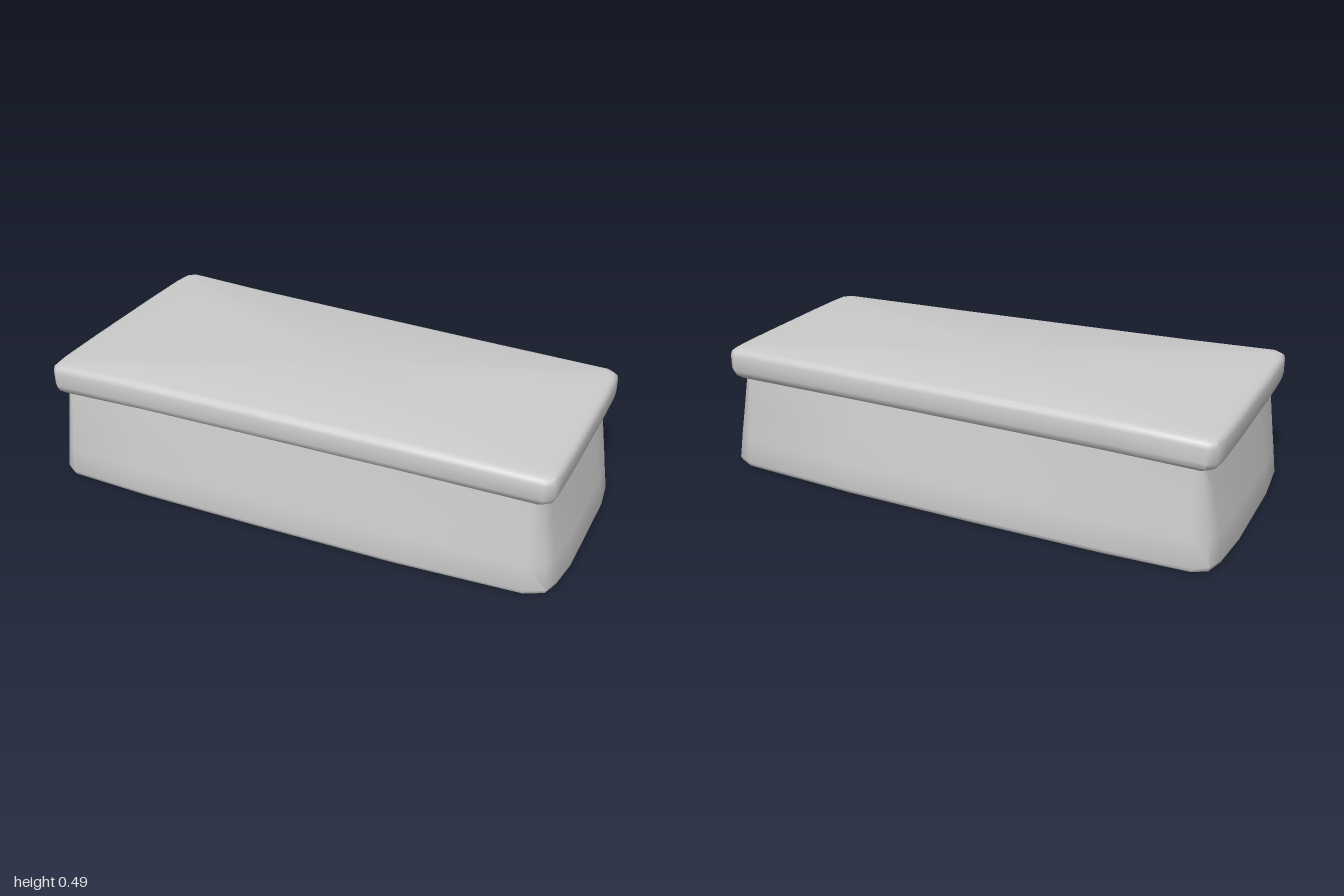
import * as THREE from 'three';
import { toCreasedNormals } from 'three/addons/utils/BufferGeometryUtils.js';

// Half outlines (x, z) running from the right end to the left end, mirrored in z.
const BASE = [[1, 0.2], [0.985, 0.32], [0.965, 0.385], [0.9, 0.42], [0.43, 0.457], [-0.1, 0.475],
  [-0.6, 0.487], [-0.92, 0.482], [-0.965, 0.455], [-0.985, 0.38], [-1, 0.2]];
const NECK = [[0.925, 0.2], [0.925, 0.31], [0.92, 0.355], [0.885, 0.39], [0.43, 0.405], [-0.1, 0.42],
  [-0.6, 0.44], [-0.89, 0.462], [-0.922, 0.445], [-0.932, 0.4], [-0.935, 0.2]];
const LID = [[0.968, 0.2], [0.965, 0.34], [0.96, 0.395], [0.93, 0.42], [0.43, 0.433], [-0.1, 0.45],
  [-0.6, 0.468], [-0.94, 0.49], [-0.967, 0.465], [-0.975, 0.4], [-0.978, 0.2]];

// One closed ring at height y, pulled inwards by inset.
function ring(half, y, inset) {
  const side = half.map(([x, z]) => [x - Math.sign(x) * inset, y, z - inset]);
  return [...side, ...side.map(([x, h, z]) => [x, h, -z]).reverse()];
}

const blend = (a, b, t) => a.map(([x, z], i) => [x + (b[i][0] - x) * t, z + (b[i][1] - z) * t]);

// Skins a stack of rings and closes both ends; the ends may be crowned.
function loft(rings, crown) {
  const pos = [];
  const tri = (...pts) => pts.forEach((p) => pos.push(...p));
  const n = rings[0].length;
  const first = rings[0];
  const last = rings[rings.length - 1];
  for (let i = 0; i < n; i++) {
    const j = (i + 1) % n;
    for (let k = 0; k < rings.length - 1; k++) {
      const lo = rings[k];
      const hi = rings[k + 1];
      tri(lo[i], hi[i], hi[j]);
      tri(lo[i], hi[j], lo[j]);
    }
    tri([0, first[0][1], 0], first[i], first[j]);
    tri([0, last[0][1] + crown, 0], last[j], last[i]);
  }
  const geo = new THREE.BufferGeometry();
  geo.setAttribute('position', new THREE.Float32BufferAttribute(pos, 3));
  return toCreasedNormals(geo, 0.85);
}

export function createModel() {
  const group = new THREE.Group();
  group.name = 'liddedBox';
  const grey = new THREE.MeshStandardMaterial({ color: 0xcccccc });
  grey.name = 'plain grey';

  const add = (name, geo) => {
    const mesh = new THREE.Mesh(geo, grey);
    mesh.name = name;
    group.add(mesh);
  };

  // Body flares from the neck under the lid down to a wide bevelled foot.
  const bodyLayers = [[0, 0, 0.015], [0.008, 0, 0.004], [0.022, 0.01, 0], [0.12, 0.27, 0],
    [0.24, 0.62, 0], [0.375, 1, 0]];
  add('body', loft(bodyLayers.map(([y, t, inset]) => ring(blend(BASE, NECK, t), y, inset)), 0));

  // Overhanging lid with rounded rim and a faintly crowned top.
  const lidLayers = [[0.362, 0.04], [0.368, 0.022], [0.382, 0.006], [0.4, 0], [0.455, 0],
    [0.47, 0.004], [0.479, 0.014], [0.483, 0.03]];
  add('lid', loft(lidLayers.map(([y, inset]) => ring(LID, y, inset)), 0.005));

  return group;
}
